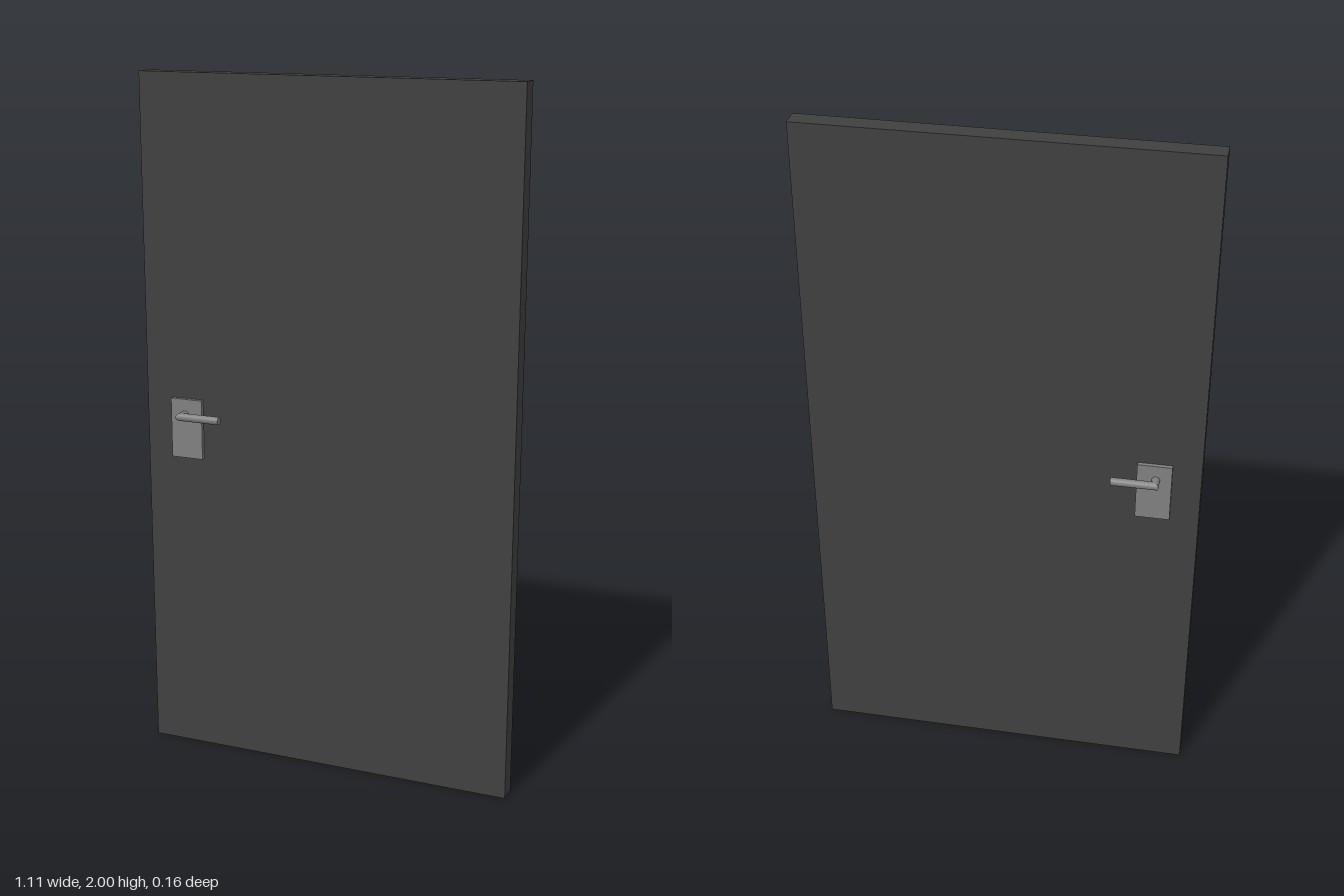
import * as THREE from 'three';

const doorMat = new THREE.MeshStandardMaterial({ color: 0x404040 });
const metalMat = new THREE.MeshStandardMaterial({ color: 0x808080 });

const DOOR = { w: 1.11, h: 2, d: 0.056 };
const R = 0.0115;                      // handle bar radius
const PIVOT = { x: -0.43, y: 1.032 };  // spindle position
const PLATE = { x: -0.4255, y: 0.99, w: 0.097, h: 0.175, z: 0.04 };
const LEVER_Z = 0.0675, LEVER_END = -0.308;

function addMesh(parent, name, geometry, material) {
  const mesh = new THREE.Mesh(geometry, material);
  mesh.name = name;
  parent.add(mesh);
  return mesh;
}

// Slide the vertices at one end of a bar onto the 45 degree mitre plane.
function mitre(geometry, isEnd, along, across) {
  const p = geometry.attributes.position;
  for (let i = 0; i < p.count; i++) {
    const v = new THREE.Vector3().fromBufferAttribute(p, i);
    if (isEnd(v)) v[along] -= v[across];
    p.setXYZ(i, v.x, v.y, v.z);
  }
  return geometry;
}

// One side's handle set, built for the front face.
function createHandle(name) {
  const handle = new THREE.Group();
  handle.name = name;

  // Rectangular backplate, sunk slightly into the door
  const depth = PLATE.z - 0.024;
  addMesh(handle, 'backplate', new THREE.BoxGeometry(PLATE.w, PLATE.h, depth), metalMat)
    .position.set(PLATE.x, PLATE.y, PLATE.z - depth / 2);

  // Spindle standing out of the plate, cut at the corner
  const base = 0.03, postLen = LEVER_Z - base;
  const post = new THREE.CylinderGeometry(R, R, postLen, 24, 1, true);
  post.rotateX(Math.PI / 2).translate(0, 0, -postLen / 2);
  mitre(post, v => v.z > -postLen / 2, 'z', 'x');
  addMesh(handle, 'spindle', post, metalMat).position.set(PIVOT.x, PIVOT.y, LEVER_Z);

  // Round lever running sideways from the corner
  const leverLen = LEVER_END - PIVOT.x;
  const lever = new THREE.CylinderGeometry(R, R, leverLen, 24);
  lever.rotateZ(-Math.PI / 2).translate(leverLen / 2, 0, 0);
  mitre(lever, v => v.x < leverLen / 2, 'x', 'z');
  addMesh(handle, 'lever', lever, metalMat).position.set(PIVOT.x, PIVOT.y, LEVER_Z);
  return handle;
}

export function createModel() {
  const door = new THREE.Group();
  door.name = 'door';

  // Plain slab
  addMesh(door, 'doorPanel', new THREE.BoxGeometry(DOOR.w, DOOR.h, DOOR.d), doorMat)
    .position.y = DOOR.h / 2;

  // Matching handles on both faces
  door.add(createHandle('frontHandle'));
  const back = createHandle('backHandle');
  back.scale.z = -1;
  door.add(back);
  return door;
}
